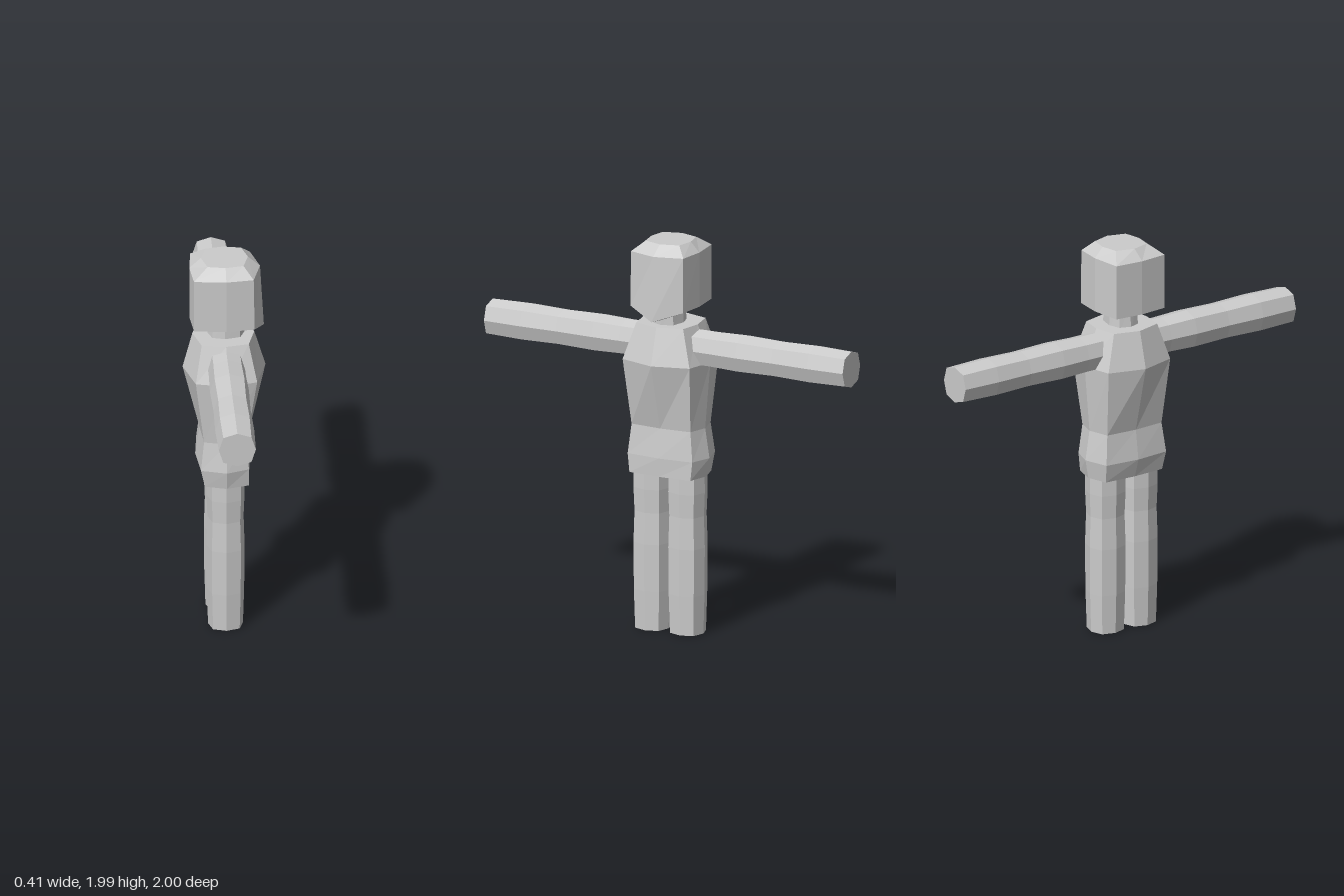
import * as THREE from 'three';

const material = new THREE.MeshStandardMaterial({ color: 0xcccccc, flatShading: true });

// Eight-sided ring at height y: back and front reach in x, half width in z, corner fullness
function ring(y, back, front, halfZ, cz = 0, cornerX = 0.76, cornerZ = cornerX) {
  return Array.from({ length: 8 }, (_, i) => {
    const c = Math.round(Math.cos(i * Math.PI / 4) * 10), s = Math.round(Math.sin(i * Math.PI / 4) * 10);
    const corner = i % 2 === 1;
    const x = Math.sign(c) * (c > 0 ? front : back) * (corner ? cornerX : 1);
    const z = Math.sign(s) * halfZ * (corner ? cornerZ : 1);
    return new THREE.Vector3(x, y, cz + z);
  });
}

// Skin rings from bottom to top and close both ends
function loft(name, rings) {
  const pts = [];
  const tri = (a, b, c) => pts.push(a, b, c);
  for (let r = 0; r < rings.length - 1; r++) {
    for (let i = 0; i < 8; i++) {
      const j = (i + 1) % 8, lo = rings[r], hi = rings[r + 1];
      tri(lo[i], hi[i], lo[j]);
      tri(hi[i], hi[j], lo[j]);
    }
  }
  const bottom = rings[0], top = rings[rings.length - 1];
  for (let i = 1; i < 7; i++) {
    tri(bottom[0], bottom[i], bottom[i + 1]);
    tri(top[0], top[i + 1], top[i]);
  }
  const geometry = new THREE.BufferGeometry().setFromPoints(pts);
  geometry.computeVertexNormals();
  const mesh = new THREE.Mesh(geometry, material);
  mesh.name = name;
  return mesh;
}

// Straight limb from [distance, radius] pairs
const limb = (name, profile) => loft(name, profile.map(([y, r]) => ring(y, r, r, r)));

export function createModel() {
  const model = new THREE.Group();
  model.name = 'figure';
  const midZ = 0.008;

  // Torso: hips, waist, chest, shoulders
  model.add(loft('torso', [
    ring(0.805, 0.115, 0.12, 0.2, midZ, 0.92, 0.85),
    ring(0.9, 0.143, 0.125, 0.217, midZ, 0.88, 0.83),
    ring(1.05, 0.122, 0.11, 0.193, midZ, 0.9, 0.85),
    ring(1.39, 0.205, 0.203, 0.222, midZ, 0.74, 0.84),
    ring(1.575, 0.157, 0.148, 0.152, midZ, 0.76, 0.86),
  ]));

  // Neck
  model.add(loft('neck', [
    ring(1.55, 0.085, 0.1, 0.075, midZ),
    ring(1.68, 0.07, 0.095, 0.068, midZ),
  ]));

  // Head: underside, jaw with forward chin, brow, crown
  const under = ring(1.64, 0.075, 0.1, 0.08, 0.01);
  under[0].y = 1.6;
  const jaw = ring(1.665, 0.172, 0.182, 0.162, 0.01, 0.77, 0.9);
  jaw[0].set(0.195, 1.613, 0.01);
  const brow = ring(1.942, 0.172, 0.176, 0.162, 0.01, 0.77, 0.9);
  for (const r of [jaw, brow]) r[3].x = r[5].x = -0.158;
  model.add(loft('head', [under, jaw, brow, ring(1.992, 0.115, 0.117, 0.11, 0.005, 0.76, 0.85)]));

  // Arms and legs, one per side
  for (const side of [1, -1]) {
    const label = side > 0 ? 'front' : 'back';

    const arm = limb(label + 'Arm', [
      [0.1, 0.091], [0.25, 0.091], [0.4, 0.096], [0.6, 0.091], [0.8, 0.096], [1, 0.091],
    ]);
    arm.rotation.x = side * Math.PI / 2;
    arm.position.y = 1.46;
    model.add(arm);

    const leg = limb(label + 'Leg', [
      [0, 0.086], [0.2, 0.092], [0.44, 0.094], [0.6, 0.089], [0.72, 0.094], [0.83, 0.093],
    ]);
    leg.position.z = midZ + side * 0.097;
    model.add(leg);
  }
  return model;
}
